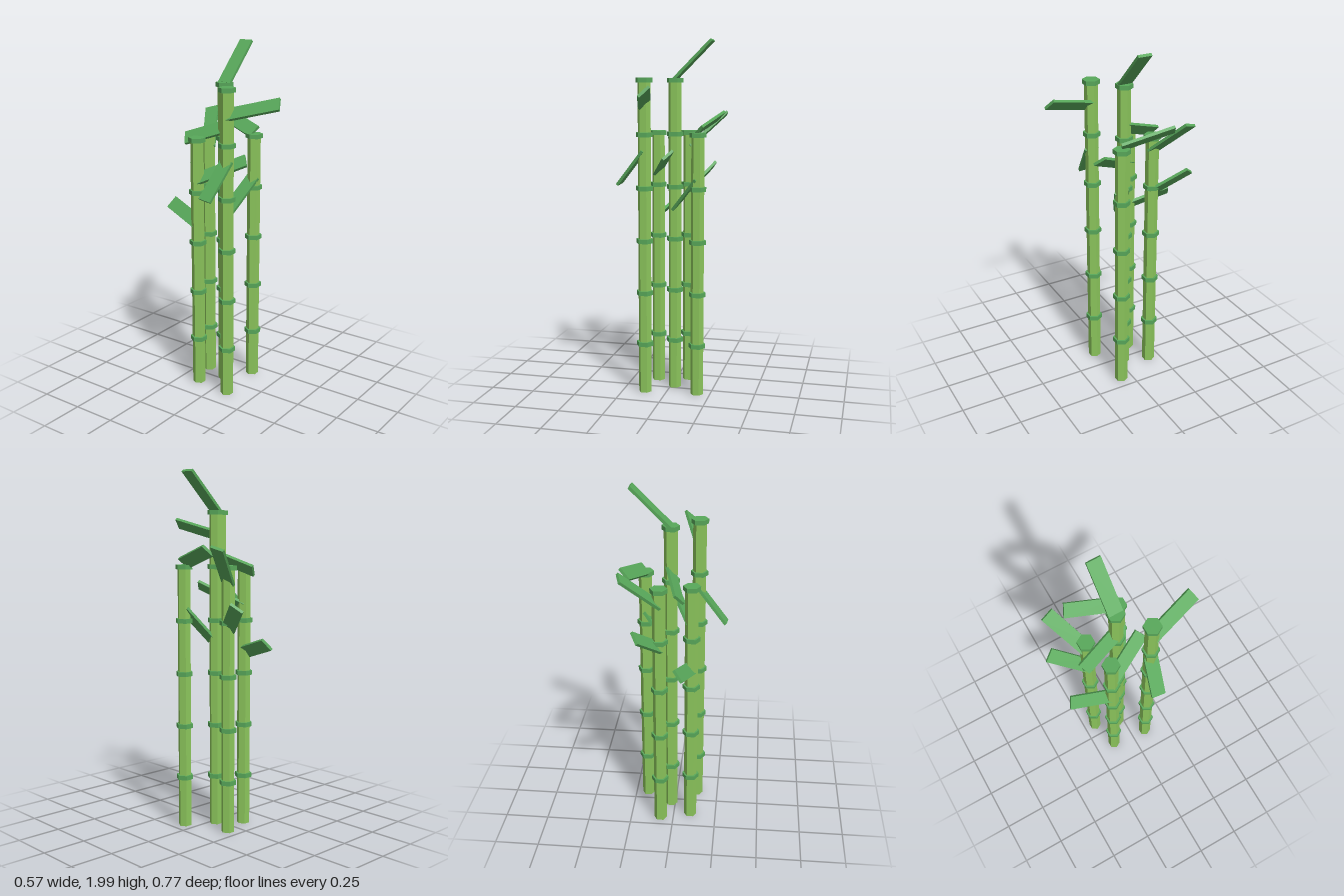
import * as THREE from 'three';

const NODE_STEP = 0.297;
const stalkMat = new THREE.MeshStandardMaterial({ color: 0x8cc65c, flatShading: true });
const leafMat = new THREE.MeshStandardMaterial({ color: 0x58a85a, flatShading: true });

// Hexagonal prism standing on y = 0, corners on the x axis
function hexPrism(radius, height) {
  const g = new THREE.CylinderGeometry(radius, radius, height, 6);
  g.rotateY(Math.PI / 6);
  g.translate(0, height / 2, 0);
  return g;
}

// Thin slab from the stalk centre at height y; dx, dz is its horizontal reach, pitch its rise along x
function makeLeaf({ y, dx, dz, pitch }) {
  const a = THREE.MathUtils.degToRad(pitch);
  const reach = new THREE.Vector3(dx, dx * Math.tan(a), dz);
  const length = reach.length();
  const dir = reach.normalize();
  const normal = new THREE.Vector3(-Math.sin(a), Math.cos(a), 0);
  const side = new THREE.Vector3().crossVectors(dir, normal);
  const g = new THREE.BoxGeometry(length, 0.016, 0.079);
  g.translate(length / 2, 0, 0);
  const leaf = new THREE.Mesh(g, leafMat);
  leaf.name = 'leaf';
  leaf.quaternion.setFromRotationMatrix(new THREE.Matrix4().makeBasis(dir, normal, side));
  leaf.position.y = y;
  return leaf;
}

// Each stalk: place, number of nodes, one long and one short leaf
const STALKS = [
  { x: -0.122, z: 0.09, nodes: 6, leaves: [
    { y: 1.637, dx: 0.074, dz: 0.28, pitch: 45 },
    { y: 1.388, dx: -0.156, dz: -0.034, pitch: 51 }] },
  { x: -0.098, z: -0.13, nodes: 5, leaves: [
    { y: 1.25, dx: 0.116, dz: 0.247, pitch: 45 },
    { y: 0.995, dx: 0.056, dz: -0.23, pitch: 51 }] },
  { x: 0.024, z: -0.031, nodes: 6, leaves: [
    { y: 1.778, dx: 0.21, dz: 0, pitch: 45 },
    { y: 1.535, dx: -0.064, dz: -0.225, pitch: 51 }] },
  { x: 0.075, z: -0.18, nodes: 5, leaves: [
    { y: 1.39, dx: 0.193, dz: -0.115, pitch: 45 },
    { y: 1.14, dx: 0.11, dz: -0.175, pitch: 51 }] },
  { x: 0.175, z: 0.066, nodes: 5, leaves: [
    { y: 1.495, dx: 0.075, dz: -0.275, pitch: 45 },
    { y: 1.24, dx: -0.147, dz: -0.074, pitch: 51 }] },
];

export function createModel() {
  const model = new THREE.Group();
  model.name = 'bambooCluster';
  const nodeGeo = hexPrism(0.048, 0.025);

  for (const { x, z, nodes, leaves } of STALKS) {
    const plant = new THREE.Group();
    plant.name = 'bambooPlant';
    plant.position.set(x, 0, z);

    const stalk = new THREE.Mesh(hexPrism(0.037, nodes * NODE_STEP - 0.015), stalkMat);
    stalk.name = 'stalk';
    plant.add(stalk);

    // Evenly spaced node rings, the last one capping the stalk
    for (let i = 1; i <= nodes; i++) {
      const ring = new THREE.Mesh(nodeGeo, leafMat);
      ring.name = 'nodeRing';
      ring.position.y = i * NODE_STEP - 0.024;
      plant.add(ring);
    }
    leaves.forEach((l) => plant.add(makeLeaf(l)));
    model.add(plant);
  }
  return model;
}
